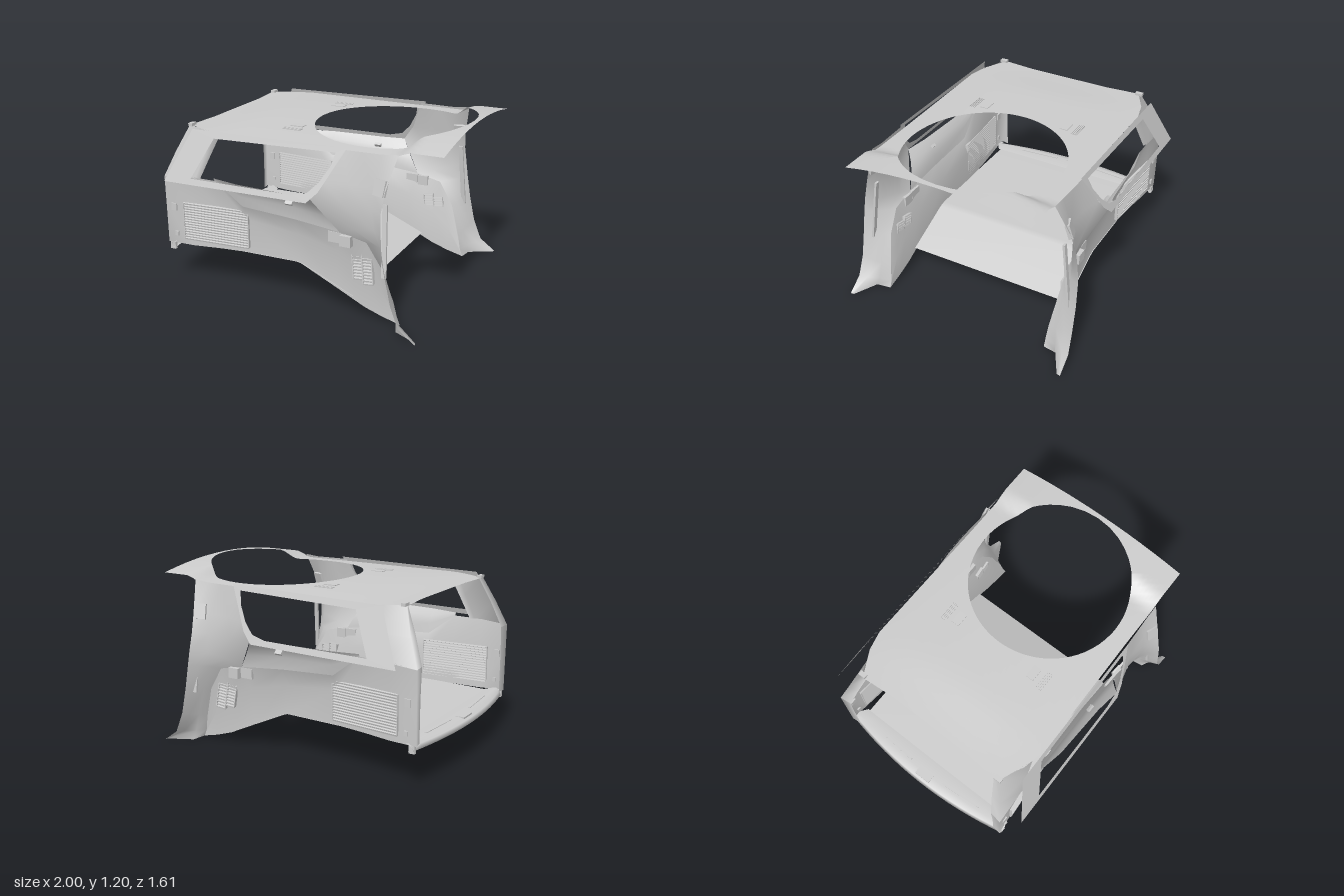
import * as THREE from 'three';

const mat = new THREE.MeshStandardMaterial({ color: 0xcccccc, side: THREE.DoubleSide });

function add(parent, geometry, name, pos = [0, 0, 0], rot = [0, 0, 0]) {
  const mesh = new THREE.Mesh(geometry, mat);
  mesh.name = name;
  mesh.position.set(...pos);
  mesh.rotation.set(...rot);
  parent.add(mesh);
  return mesh;
}

// Skin between rows that each hold the same number of [x, y, z] points
function loft(rows) {
  const n = rows[0].length, index = [];
  for (let i = 0; i < rows.length - 1; i++) {
    for (let j = 0; j < n - 1; j++) {
      const a = i * n + j, b = a + n;
      index.push(a, b, a + 1, b, b + 1, a + 1);
    }
  }
  const g = new THREE.BufferGeometry();
  g.setAttribute('position', new THREE.Float32BufferAttribute(rows.flat(2), 3));
  g.setIndex(index);
  g.computeVertexNormals();
  return g;
}

// Louvred rectangle standing in the xy plane
function grille(parent, name, w, h, count, pos, rot) {
  const group = new THREE.Group();
  group.name = name;
  for (let i = 0; i < count; i++) {
    const y = (i / (count - 1) - 0.5) * h;
    add(group, new THREE.BoxGeometry(w, h / count * 0.6, 0.022), 'slat', [0, y, 0], [0.3, 0, 0]);
  }
  for (const s of [-1, 1]) add(group, new THREE.BoxGeometry(0.006, h, 0.024), 'grilleEnd', [s * w / 2, 0, 0]);
  group.position.set(...pos);
  group.rotation.set(...rot);
  parent.add(group);
}

function roofHeight(x, z) {
  const crown = 1 - (z / 0.65) ** 2;
  const step = THREE.MathUtils.smoothstep(x, 0.68, 0.8);
  const dip = 0.022 * (1 - THREE.MathUtils.smoothstep(x, -0.78, -0.4)) * crown;
  return 1.088 + 0.022 * crown + step * (0.04 + 0.045 * crown) - dip;
}

// Headliner: skin from the round opening out to the roof outline
function roof() {
  const outline = [[1, 0.64], [0.4, 0.64], [-0.5, 0.65], [-0.63, 0.62], [-0.8, 0.53], [-0.78, 0.3],
    [-0.78, -0.3], [-0.8, -0.53], [-0.63, -0.62], [-0.5, -0.65], [0.4, -0.64], [1, -0.64]];
  const rows = [], cx = 0.44, r = 0.53, per = 12, steps = 8;
  for (let k = 0; k <= outline.length * per; k++) {
    const i = Math.floor(k / per) % outline.length, t = (k % per) / per;
    const p = outline[i], q = outline[(i + 1) % outline.length];
    const x = p[0] + (q[0] - p[0]) * t, z = p[1] + (q[1] - p[1]) * t;
    const d = Math.hypot(x - cx, z), ix = cx + (x - cx) / d * r, iz = z / d * r;
    const row = [];
    for (let s = 0; s <= steps; s++) {
      const px = ix + (x - ix) * s / steps, pz = iz + (z - iz) * s / steps;
      row.push([px, roofHeight(px, pz), pz]);
    }
    rows.push(row);
  }
  return loft(rows);
}

// Flat window surround, leaning inwards to the roof
function windowFrame() {
  const v = (x, y) => new THREE.Vector2(x, y);
  const shape = new THREE.Shape([v(-0.86, 0.76), v(0.18, 0.77), v(0.25, 0.84), v(0.4, 1.115), v(-0.7, 1.1)]);
  shape.holes.push(new THREE.Path([v(-0.66, 0.8), v(-0.53, 1.06), v(0.33, 1.08), v(0.31, 1.0),
    v(0.25, 0.9), v(0.18, 0.83), v(0.08, 0.805)]));
  const g = new THREE.ShapeGeometry(shape);
  const p = g.attributes.position;
  for (let i = 0; i < p.count; i++) p.setZ(i, 0.78 - (p.getY(i) - 0.76) * 0.35);
  g.computeVertexNormals();
  return g;
}

function sidePanel(name) {
  const side = new THREE.Group();
  side.name = name;

  // Inner wall, columns from bottom to ridge
  const wall = [
    [[-0.93, 0.28, 0.6], [-0.93, 0.55, 0.6], [-0.93, 0.75, 0.59]],
    [[-0.94, 0.28, 0.66], [-0.94, 0.55, 0.665], [-0.94, 0.75, 0.67]],
    [[-0.75, 0.275, 0.64], [-0.75, 0.58, 0.645], [-0.75, 0.77, 0.66]],
    [[-0.55, 0.28, 0.615], [-0.55, 0.58, 0.625], [-0.55, 0.77, 0.66]],
    [[-0.35, 0.285, 0.6], [-0.35, 0.52, 0.605], [-0.35, 0.62, 0.645]],
    [[0.03, 0.29, 0.6], [0.03, 0.48, 0.6], [0.03, 0.6, 0.65]],
    [[0.3, 0.165, 0.6], [0.32, 0.42, 0.605], [0.35, 0.57, 0.655]],
    [[0.5, 0.07, 0.6], [0.5, 0.3, 0.61], [0.53, 0.53, 0.65]],
    [[0.62, 0.03, 0.6], [0.62, 0.2, 0.605], [0.63, 0.37, 0.64]],
    [[0.74, 0, 0.6], [0.72, 0.05, 0.6], [0.7, 0.15, 0.61]],
  ];
  add(side, loft(wall), 'innerWall');

  // Hollow ledge between the ridge and the window
  add(side, loft([
    [[-0.55, 0.77, 0.66], [-0.55, 0.775, 0.662], [-0.55, 0.78, 0.665], [-0.55, 0.79, 0.67]],
    [[-0.35, 0.62, 0.645], [-0.35, 0.69, 0.66], [-0.35, 0.74, 0.68], [-0.35, 0.79, 0.71]],
    [[0.03, 0.6, 0.65], [0.03, 0.68, 0.655], [0.03, 0.74, 0.685], [0.03, 0.79, 0.73]],
    [[0.35, 0.57, 0.655], [0.3, 0.66, 0.67], [0.25, 0.73, 0.705], [0.2, 0.79, 0.755]],
  ]), 'windowLedge');

  // Front pillar, rows from the foot to the roof
  add(side, loft([
    [[0.74, 0, 0.6], [0.755, 0, 0.7], [0.915, 0, 0.78], [0.92, 0, 0.805]],
    [[0.72, 0.05, 0.6], [0.745, 0.06, 0.68], [0.79, 0.07, 0.75], [0.81, 0.08, 0.805]],
    [[0.7, 0.15, 0.61], [0.72, 0.18, 0.67], [0.74, 0.2, 0.74], [0.755, 0.22, 0.8]],
    [[0.63, 0.37, 0.64], [0.66, 0.38, 0.68], [0.69, 0.39, 0.74], [0.715, 0.4, 0.8]],
    [[0.53, 0.53, 0.65], [0.58, 0.54, 0.67], [0.65, 0.55, 0.73], [0.69, 0.56, 0.795]],
    [[0.35, 0.57, 0.655], [0.45, 0.61, 0.67], [0.6, 0.64, 0.705], [0.68, 0.66, 0.785]],
    [[0.2, 0.79, 0.755], [0.4, 0.77, 0.705], [0.58, 0.77, 0.7], [0.67, 0.78, 0.765]],
    [[0.28, 0.9, 0.725], [0.42, 0.9, 0.69], [0.58, 0.9, 0.685], [0.68, 0.9, 0.73]],
    [[0.36, 1.1, 0.655], [0.5, 1.1, 0.65], [0.62, 1.1, 0.645], [0.725, 1.11, 0.645]],
  ]), 'frontPillar');

  // Rear pillar inside the window frame, turned in at both edges
  add(side, loft([
    [[-0.93, 0.75, 0.59], [-0.94, 0.75, 0.67], [-0.7, 0.765, 0.66], [-0.67, 0.765, 0.645]],
    [[-0.865, 0.92, 0.55], [-0.87, 0.92, 0.62], [-0.63, 0.93, 0.645], [-0.6, 0.93, 0.61]],
    [[-0.79, 1.08, 0.51], [-0.8, 1.09, 0.545], [-0.57, 1.09, 0.635], [-0.53, 1.085, 0.58]],
  ]), 'rearPillar');

  add(side, windowFrame(), 'windowFrame');
  add(side, new THREE.BoxGeometry(0.03, 0.02, 0.05), 'roofCornerTab', [-0.785, 1.095, 0.54]);

  // Grilles and fittings
  grille(side, 'rearGrille', 0.48, 0.25, 15, [-0.57, 0.45, 0.63], [0, 0.08, 0]);
  for (const s of [0, 1]) {
    grille(side, 'speakerGrille', 0.07, 0.16, 9, [0.465 + s * 0.07, 0.355 - s * 0.02, 0.626 + s * 0.008], [-0.08, -0.1, 0.12]);
  }
  add(side, new THREE.BoxGeometry(0.09, 0.07, 0.02), 'beltGuideBase', [0.315, 0.53, 0.645]);
  add(side, new THREE.BoxGeometry(0.075, 0.07, 0.05), 'beltGuide', [0.4, 0.525, 0.66]);
  add(side, new THREE.BoxGeometry(0.08, 0.1, 0.03), 'beltAnchor', [0.64, 0.915, 0.705], [-0.3, -0.3, -0.1]);
  add(side, new THREE.BoxGeometry(0.03, 0.45, 0.015), 'beltStrap', [0.675, 0.585, 0.712], [-0.12, 0, 0.05]);
  add(side, new THREE.BoxGeometry(0.05, 0.05, 0.02), 'ledgeCatch', [0.02, 0.73, 0.685], [-0.7, 0, 0]);
  add(side, new THREE.BoxGeometry(0.04, 0.05, 0.02), 'upperHook', [-0.88, 0.54, 0.657]);
  add(side, new THREE.BoxGeometry(0.025, 0.03, 0.02), 'lowerHook', [-0.87, 0.35, 0.655]);

  // Roof lamp and vent beside it
  add(side, new THREE.BoxGeometry(0.09, 0.012, 0.055), 'roofLamp', [-0.12, 1.104, 0.3]);
  for (let i = 0; i < 4; i++) {
    add(side, new THREE.BoxGeometry(0.13, 0.014, 0.006), 'roofVentSlat', [-0.12, 1.1, 0.365 + i * 0.012]);
  }
  return side;
}

export function createModel() {
  const model = new THREE.Group();
  model.name = 'rearCabinTrim';

  add(model, roof(), 'headliner');

  // Load floor, sloping down at the front
  const floorProfile = [[-0.85, 0.28], [0.02, 0.29], [0.07, 0.28], [0.42, 0.13]];
  add(model, loft(floorProfile.map(([x, y]) => [[x, y, 0.605], [x, y, -0.605]])), 'loadFloor');

  // Bowed sill at the tailgate opening
  const sill = [];
  for (let i = 0; i <= 16; i++) {
    const z = (i / 8 - 1) * 0.665, bow = 0.075 * (z / 0.665) ** 2;
    sill.push([[-0.82, 0.28, z * 0.93], [-0.93 + bow * 0.6, 0.29, z], [-0.985 + bow, 0.275, z],
      [-1 + bow, 0.25, z], [-0.96 + bow, 0.242, z]]);
  }
  add(model, loft(sill), 'rearSill');
  add(model, new THREE.BoxGeometry(0.06, 0.012, 0.12), 'sillLatch', [-0.94, 0.286, 0]);
  for (const s of [-1, 1]) {
    add(model, new THREE.BoxGeometry(0.014, 0.012, 0.3), 'sillSlot', [-0.9, 0.286, s * 0.29], [0, s * 0.08, 0]);
    add(model, new THREE.BoxGeometry(0.04, 0.05, 0.02), 'sillEnd', [-0.91, 0.255, s * 0.65]);
  }

  // Mirrored side panels
  model.add(sidePanel('nearSide'));
  const far = sidePanel('farSide');
  far.scale.z = -1;
  model.add(far);
  return model;
}
